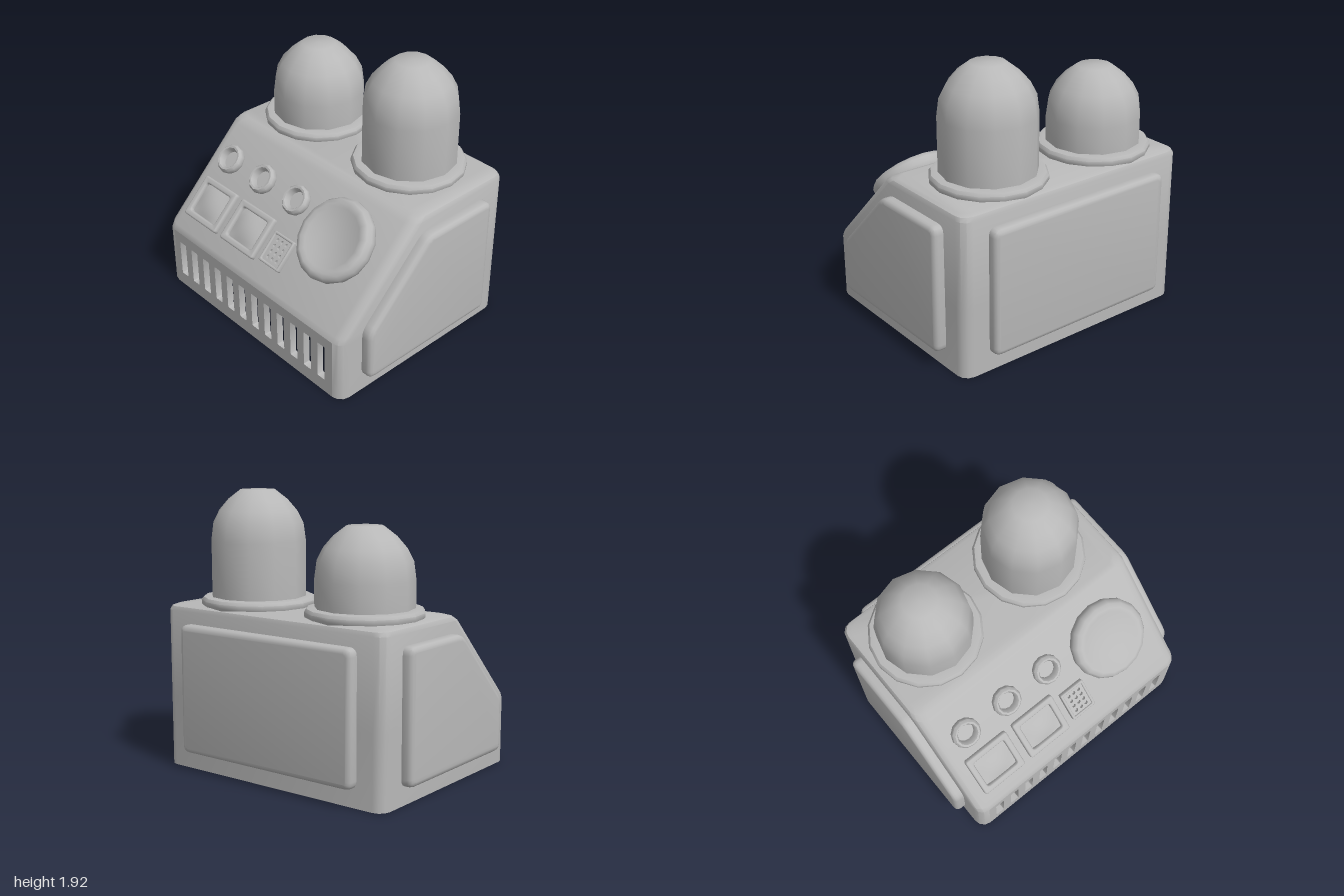
import * as THREE from 'three';
import { toCreasedNormals } from 'three/addons/utils/BufferGeometryUtils.js';

const grey = new THREE.MeshStandardMaterial({ color: 0xb8b8b8, side: THREE.DoubleSide });
grey.name = 'plain grey';

function add(parent, name, geometry, x = 0, y = 0, z = 0) {
  const mesh = new THREE.Mesh(geometry, grey);
  mesh.name = name;
  mesh.position.set(x, y, z);
  parent.add(mesh);
  return mesh;
}

// Polygon with rounded corners
function roundedPoly(points, r, Type = THREE.Shape) {
  const shape = new Type();
  const p = points.map(([x, y]) => new THREE.Vector2(x, y));
  p.forEach((c, i) => {
    const before = p[(i + p.length - 1) % p.length], after = p[(i + 1) % p.length];
    const a = before.clone().sub(c).setLength(r).add(c);
    const b = after.clone().sub(c).setLength(r).add(c);
    if (i) shape.lineTo(a.x, a.y); else shape.moveTo(a.x, a.y);
    shape.quadraticCurveTo(c.x, c.y, b.x, b.y);
  });
  shape.closePath();
  return shape;
}

const rect = (w, h, r, Type) =>
  roundedPoly([[-w / 2, -h / 2], [w / 2, -h / 2], [w / 2, h / 2], [-w / 2, h / 2]], r, Type);

// Plate from z = 0 to z = height whose rims are rounded by bevel
function plate(shape, height, bevel) {
  const g = new THREE.ExtrudeGeometry(shape, {
    depth: height - bevel, bevelEnabled: bevel > 0, bevelSize: bevel, bevelThickness: bevel,
    bevelOffset: -bevel, bevelSegments: 3, curveSegments: 4,
  });
  return toCreasedNormals(g, 0.65);
}

function lathe(profile, sides) {
  const pts = profile.map(([r, y]) => new THREE.Vector2(r, y));
  return toCreasedNormals(new THREE.LatheGeometry(pts, sides), 0.72);
}

// Hollow housing, open below: stacked rounded rectangles with a sloping front
function housingGeometry() {
  const W = 0.925, BACK = 0.72, R = 0.08, SEG = 3;
  const levels = [ // y, front z, inset
    [0, 0.79, 0], [0.46, 0.79, 0], [0.5, 0.77, 0],
    [1.1, 0.17, 0], [1.127, 0.13, 0.012], [1.14, 0.09, 0.04],
  ];
  const pos = [], idx = [], n = 4 * (SEG + 1);
  for (const [y, front, inset] of levels) {
    for (let k = 0; k < 4; k++) {
      const cx = (k < 2 ? 1 : -1) * (W - inset - R);
      const cz = k === 0 || k === 3 ? front - R : -BACK + inset + R;
      for (let s = 0; s <= SEG; s++) {
        const t = (k + s / SEG) * Math.PI / 2;
        pos.push(cx + R * Math.sin(t), y, cz + R * Math.cos(t));
      }
    }
  }
  for (let j = 0; j < levels.length - 1; j++) {
    for (let i = 0; i < n; i++) {
      if (j === 0 && i === n - 1) continue; // opening for the vented front
      const a = j * n + i, b = j * n + (i + 1) % n;
      idx.push(a, b, b + n, a, b + n, a + n);
    }
  }
  const top = (levels.length - 1) * n;
  for (let i = 1; i < n - 1; i++) idx.push(top, top + i, top + i + 1);
  const g = new THREE.BufferGeometry();
  g.setAttribute('position', new THREE.Float32BufferAttribute(pos, 3));
  g.setIndex(idx);
  return toCreasedNormals(g, 0.6);
}

// Front wall with a row of through slots
function ventGeometry() {
  const shape = new THREE.Shape();
  shape.moveTo(-0.845, 0).lineTo(0.845, 0).lineTo(0.845, 0.46).lineTo(-0.845, 0.46).closePath();
  for (let i = 0; i < 12; i++) {
    const x = -0.75 + i * 0.1355;
    shape.holes.push(roundedPoly(
      [[x - 0.035, 0.1], [x + 0.035, 0.1], [x + 0.035, 0.38], [x - 0.035, 0.38]], 0.01, THREE.Path));
  }
  return plate(shape, 0.05, 0);
}

// Bulging screen glass
function screenGeometry(w, h) {
  const g = new THREE.PlaneGeometry(w, h, 8, 8);
  const p = g.attributes.position;
  for (let i = 0; i < p.count; i++) {
    const a = p.getX(i) / (w / 2), b = p.getY(i) / (h / 2);
    p.setXYZ(i, p.getX(i) * (1 - 0.05 * b * b), p.getY(i) * (1 - 0.07 * a * a),
      0.008 + 0.026 * (1 - a * a) * (1 - b * b));
  }
  g.computeVertexNormals();
  return g;
}

export function createModel() {
  const model = new THREE.Group();
  model.name = 'controlBox';

  add(model, 'housing', housingGeometry());
  add(model, 'ventedFront', ventGeometry(), 0, 0, 0.74);

  // Raised cover panels on both sides and the back
  for (const side of [1, -1]) {
    const outline = [[0.6, 0.125], [-0.52, 0.125], [-0.52, 1.02], [0.08, 1.02], [0.6, 0.5]];
    const shape = roundedPoly(outline.map(([z, y]) => [-side * z, y]), 0.055);
    const panel = add(model, side > 0 ? 'leftPanel' : 'rightPanel', plate(shape, 0.08, 0.035), side * 0.92);
    panel.rotation.y = side * Math.PI / 2;
  }
  const back = add(model, 'backPanel', plate(rect(1.45, 0.895, 0.055), 0.075, 0.035), 0, 0.5725, -0.715);
  back.rotation.y = Math.PI;

  // Two domes on collars, one taller
  for (const [x, lift, name] of [[-0.49, 0, 'short'], [0.415, 0.2, 'tall']]) {
    const collar = [[0.385, 1.13], [0.395, 1.15], [0.395, 1.175], [0.38, 1.195], [0.35, 1.2], [0.32, 1.2]];
    add(model, name + 'DomeCollar', lathe(collar, 16), x, 0, -0.315);
    const dome = [[0.33, 1.38], [0.314, 1.5], [0.27, 1.585], [0.205, 1.66], [0.12, 1.725], [0, 1.725]];
    const profile = [[0.33, 1.19], ...dome.map(([r, y]) => [r, y + lift])];
    add(model, name + 'Dome', lathe(profile, 12), x, 0, -0.315);
  }

  // Sloping console: local z points out of the slope, local y runs up it
  const console45 = new THREE.Group();
  console45.name = 'slopedConsole';
  console45.position.set(0, 0.7, 0.57);
  console45.rotation.x = -Math.PI / 4;
  model.add(console45);

  const knob = [[0.25, 0], [0.28, 0.02], [0.29, 0.05], [0.29, 0.085], [0.27, 0.115], [0.24, 0.125],
    [0.21, 0.115], [0.12, 0.095], [0, 0.085]];
  add(console45, 'largeDial', lathe(knob, 16), 0.505, 0.24).rotation.x = Math.PI / 2;

  const socket = [[0.1, 0], [0.108, 0.02], [0.106, 0.045], [0.092, 0.062], [0.078, 0.06], [0.068, 0.045],
    [0.066, 0.006], [0, 0.006]];
  for (const x of [-0.69, -0.335, 0.02]) {
    add(console45, 'roundSocket', lathe(socket, 12), x, 0.325).rotation.x = Math.PI / 2;
  }

  // Two framed screens
  for (const x of [-0.632, -0.222]) {
    const frame = rect(0.355, 0.315, 0.02);
    frame.holes.push(rect(0.265, 0.225, 0.02, THREE.Path));
    add(console45, 'screenFrame', plate(frame, 0.036, 0.012), x, -0.02);
    add(console45, 'screen', screenGeometry(0.27, 0.23), x, -0.02);
  }

  // Speaker grille with a raised rim and round holes
  const rim = rect(0.2, 0.23, 0.012);
  rim.holes.push(rect(0.16, 0.19, 0.008, THREE.Path));
  add(console45, 'grilleRim', plate(rim, 0.034, 0.008), 0.105, -0.035);
  const grille = rect(0.165, 0.195, 0.008);
  for (let c = -1; c <= 1; c++) {
    for (let r = -1.5; r <= 1.5; r++) {
      grille.holes.push(new THREE.Path().absarc(c * 0.044, r * 0.043, 0.014, 0, Math.PI * 2, true));
    }
  }
  add(console45, 'grille', plate(grille, 0.022, 0), 0.105, -0.035);

  return model;
}
